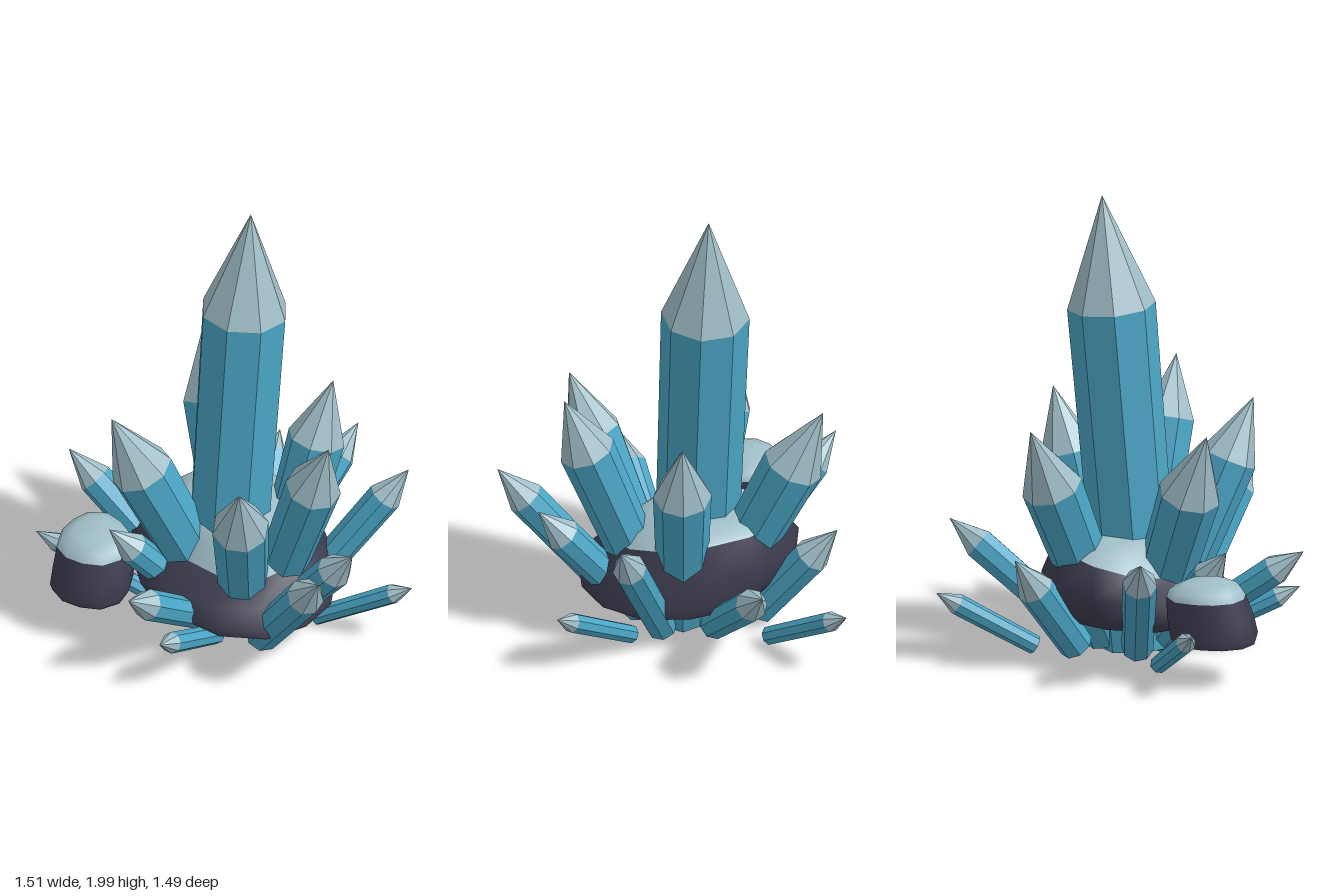
import * as THREE from 'three';

const mat = (name, color) => {
  const m = new THREE.MeshStandardMaterial({ color });
  m.name = name;
  return m;
};

// Faceted copy of a geometry
function facet(geo) {
  const g = geo.toNonIndexed();
  g.computeVertexNormals();
  return g;
}

// Eight-sided crystal running from its base point to its tip
function crystal(name, base, tip, r, tipLen, taper, twist, mats) {
  const group = new THREE.Group();
  group.name = name;
  const a = new THREE.Vector3(...base);
  const dir = new THREE.Vector3(...tip).sub(a);
  const len = dir.length(), bodyLen = len - tipLen;
  const body = new THREE.CylinderGeometry(r, r * taper, bodyLen, 8);
  body.translate(0, bodyLen / 2, 0);
  const point = new THREE.ConeGeometry(r, tipLen, 8, 1, true);
  point.translate(0, bodyLen + tipLen / 2, 0);
  for (const [part, geo, m] of [['crystalBody', body, mats.blue], ['crystalTip', point, mats.frost]]) {
    geo.rotateY(twist);
    const mesh = new THREE.Mesh(facet(geo), m);
    mesh.name = part;
    group.add(mesh);
  }
  group.position.copy(a);
  group.quaternion.setFromUnitVectors(new THREE.Vector3(0, 1, 0), dir.normalize());
  return group;
}

// Smooth skin over rings of [y, centre x, centre z, radius x, radius z, rise towards +x]
function loft(rings, outline) {
  const n = outline.length, pos = [], idx = [];
  rings.forEach(([y, cx, cz, rx, rz, rise = 0], k) => {
    outline.forEach((w, i) => {
      const t = (i / n) * Math.PI * 2;
      const dx = Math.cos(t) * rx * w, dz = Math.sin(t) * rz * w;
      pos.push(cx + dx, y + rise * (dx - 0.3 * dz), cz + dz);
      if (k === rings.length - 1) return;
      const p = k * n + i, q = k * n + (i + 1) % n;
      idx.push(p, p + n, q, q, p + n, q + n);
    });
  });
  const g = new THREE.BufferGeometry();
  g.setAttribute('position', new THREE.Float32BufferAttribute(pos, 3));
  g.setIndex(idx);
  g.computeVertexNormals();
  return g;
}

// Boulder with a flat underside, dark flanks and a pale top
function rock(name, rings, outline, capFrom, mats) {
  const group = new THREE.Group();
  group.name = name;
  const [y, cx, cz] = rings[0];
  const parts = [
    ['rockUnderside', [[y, cx, cz, 0, 0], rings[0]], mats.rock],
    ['rockSides', rings.slice(0, capFrom + 1), mats.rock],
    ['rockCap', rings.slice(capFrom), mats.frost],
  ];
  for (const [part, list, m] of parts) {
    const mesh = new THREE.Mesh(loft(list, outline), m);
    mesh.name = part;
    group.add(mesh);
  }
  return group;
}

export function createModel() {
  const model = new THREE.Group();
  model.name = 'crystalCluster';
  const mats = {
    blue: mat('crystalBlue', 0x4ba6c6),
    frost: mat('paleFrost', 0xa0bec8),
    rock: mat('darkRock', 0x3e3d50),
  };

  // Central crystal
  model.add(crystal('mainCrystal', [-0.075, 0.04, -0.07], [0.09, 2, -0.09], 0.188, 0.485, 0.93, -0.33, mats));

  // Surrounding crystals: base, tip, radius
  const sets = {
    largeCrystal: [
      [[0, 0.08, 0.11], [0, 1.145, 0.515], 0.12],
      [[-0.1, 0.08, 0.09], [-0.4, 1.03, 0.4], 0.122],
      [[0.11, 0.08, 0.03], [0.39, 1.075, 0.095], 0.124],
      [[-0.11, 0.08, -0.07], [-0.485, 1.065, -0.325], 0.135],
      [[0.045, 0.08, -0.12], [0.225, 1.07, -0.555], 0.131],
    ],
    mediumCrystal: [
      [[-0.13, 0.07, 0.24], [-0.255, 0.685, 0.745], 0.081],
      [[0, 0.07, 0.18], [0.03, 0.63, 0.635], 0.076],
      [[0.16, 0.07, 0.13], [0.548, 0.7, 0.4], 0.073],
      [[0.2, 0.07, -0.09], [0.755, 0.52, -0.165], 0.071],
      [[-0.2, 0.07, 0.02], [-0.755, 0.475, 0.095], 0.067],
      [[-0.17, 0.07, -0.1], [-0.55, 0.545, -0.265], 0.069],
      [[-0.13, 0.07, -0.23], [-0.357, 0.6, -0.748], 0.074],
      [[0.12, 0.07, -0.3], [0.275, 0.51, -0.605], 0.08],
    ],
    smallCrystal: [
      [[0.31, 0.05, -0.3], [0.655, 0.31, -0.555], 0.045],
      [[0.15, 0.04, 0.26], [0.365, 0.295, 0.633], 0.043],
      [[-0.26, 0.05, 0.09], [-0.688, 0.28, 0.22], 0.046],
      [[-0.27, 0.04, -0.33], [-0.575, 0.295, -0.708], 0.043],
    ],
  };
  for (const [name, list] of Object.entries(sets)) {
    const taper = name === 'largeCrystal' ? 0.82 : 0.92;
    list.forEach(([base, tip, r], i) =>
      model.add(crystal(name + (i + 1), base, tip, r, r * 2.3, taper, i * 0.3, mats)));
  }

  // Boulder around the foot of the crystals, its pale top dipping to the left and front
  model.add(rock('mainRock', [
    [0.18, -0.05, 0.04, 0.37, 0.4],
    [0.22, -0.05, 0.02, 0.385, 0.425],
    [0.33, -0.04, -0.05, 0.375, 0.44, 0.1],
    [0.44, -0.01, -0.045, 0.29, 0.36, 0.22],
    [0.495, 0, -0.05, 0.25, 0.31, 0.15],
    [0.545, 0, -0.06, 0.18, 0.21, 0.03],
    [0.56, 0, -0.06, 0, 0],
  ], [0.98, 1, 0.98, 0.97, 1, 1, 0.98, 1.1, 1.1, 1.05, 1.06, 1.02], 3, mats));

  // Smaller boulder beside it, leaning inwards and flat on top
  model.add(rock('sideRock', [
    [0.19, -0.55, -0.37, 0.165, 0.165],
    [0.22, -0.55, -0.37, 0.175, 0.175],
    [0.3, -0.535, -0.375, 0.172, 0.172],
    [0.39, -0.52, -0.39, 0.157, 0.157],
    [0.425, -0.515, -0.395, 0.142, 0.142],
    [0.45, -0.515, -0.395, 0.09, 0.09],
    [0.455, -0.515, -0.395, 0, 0],
  ], [1, 1, 0.95, 1.04, 1.06, 1, 1.03, 1.05, 1, 1, 1.14, 1.14], 3, mats));

  return model;
}
